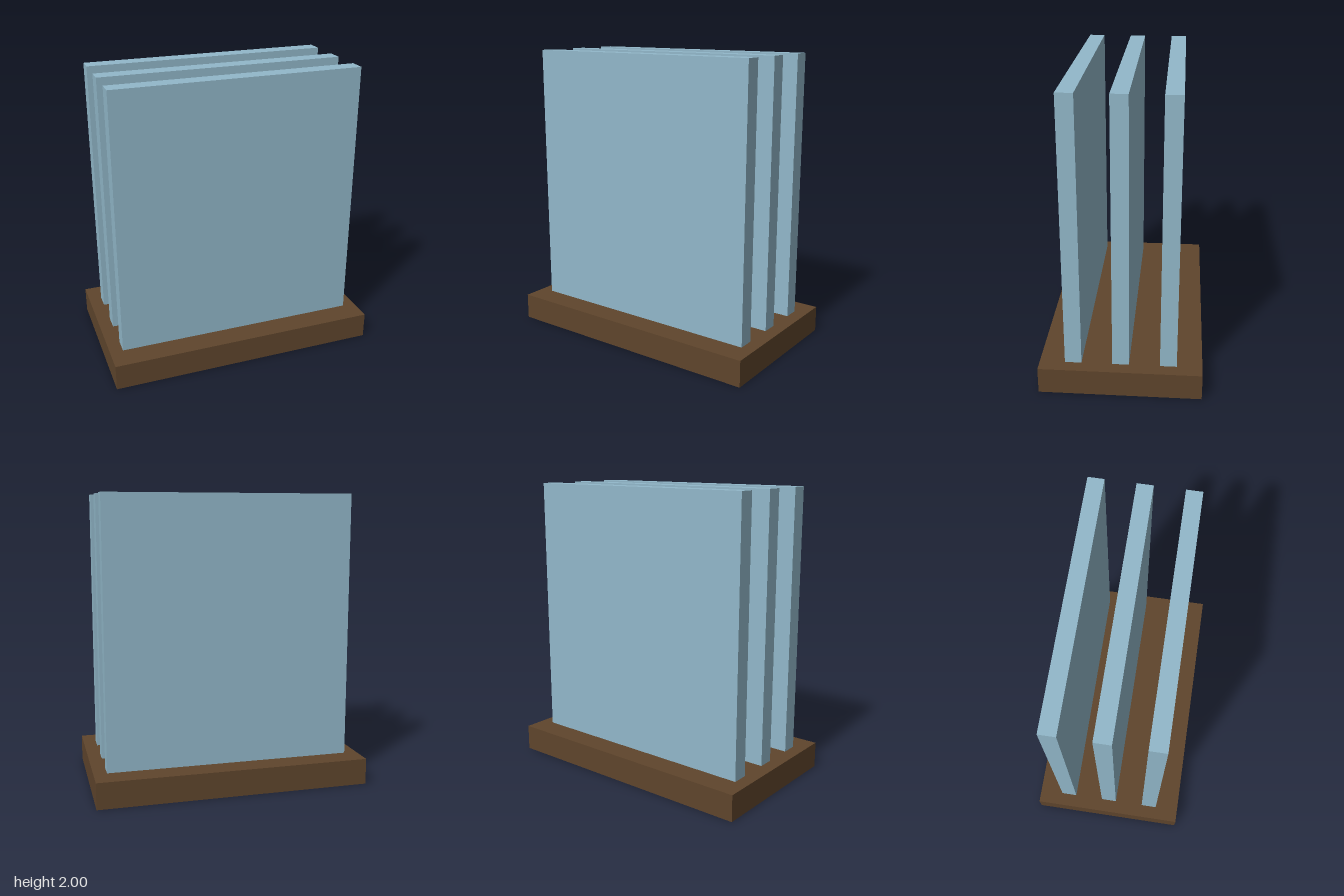
import * as THREE from 'three';

// Box standing on y = 0 with its underside left open
function openBox(width, height, depth) {
  const geometry = new THREE.BoxGeometry(width, height, depth);
  const index = Array.from(geometry.index.array);
  index.splice(18, 6); // the bottom face
  geometry.setIndex(index);
  geometry.clearGroups();
  return geometry.translate(0, height / 2, 0);
}

export function createModel() {
  const model = new THREE.Group();
  model.name = 'panelStand';

  const wood = new THREE.MeshStandardMaterial({ color: 0x5f452c, side: THREE.DoubleSide });
  wood.name = 'brown wood';
  const glass = new THREE.MeshStandardMaterial({ color: 0x92b8ca, side: THREE.DoubleSide });
  glass.name = 'pale blue';

  // Hollow base tray, open underneath
  const baseHeight = 0.18;
  const base = new THREE.Mesh(openBox(1.87, baseHeight, 1.07), wood);
  base.name = 'base';
  model.add(base);

  // Three upright panels, evenly spaced from front to back
  const panelGeometry = openBox(1.69, 2 - baseHeight, 0.11);
  ['frontPanel', 'middlePanel', 'backPanel'].forEach((name, i) => {
    const panel = new THREE.Mesh(panelGeometry, glass);
    panel.name = name;
    panel.position.set(0, baseHeight, (1 - i) * 0.313);
    model.add(panel);
  });

  return model;
}
